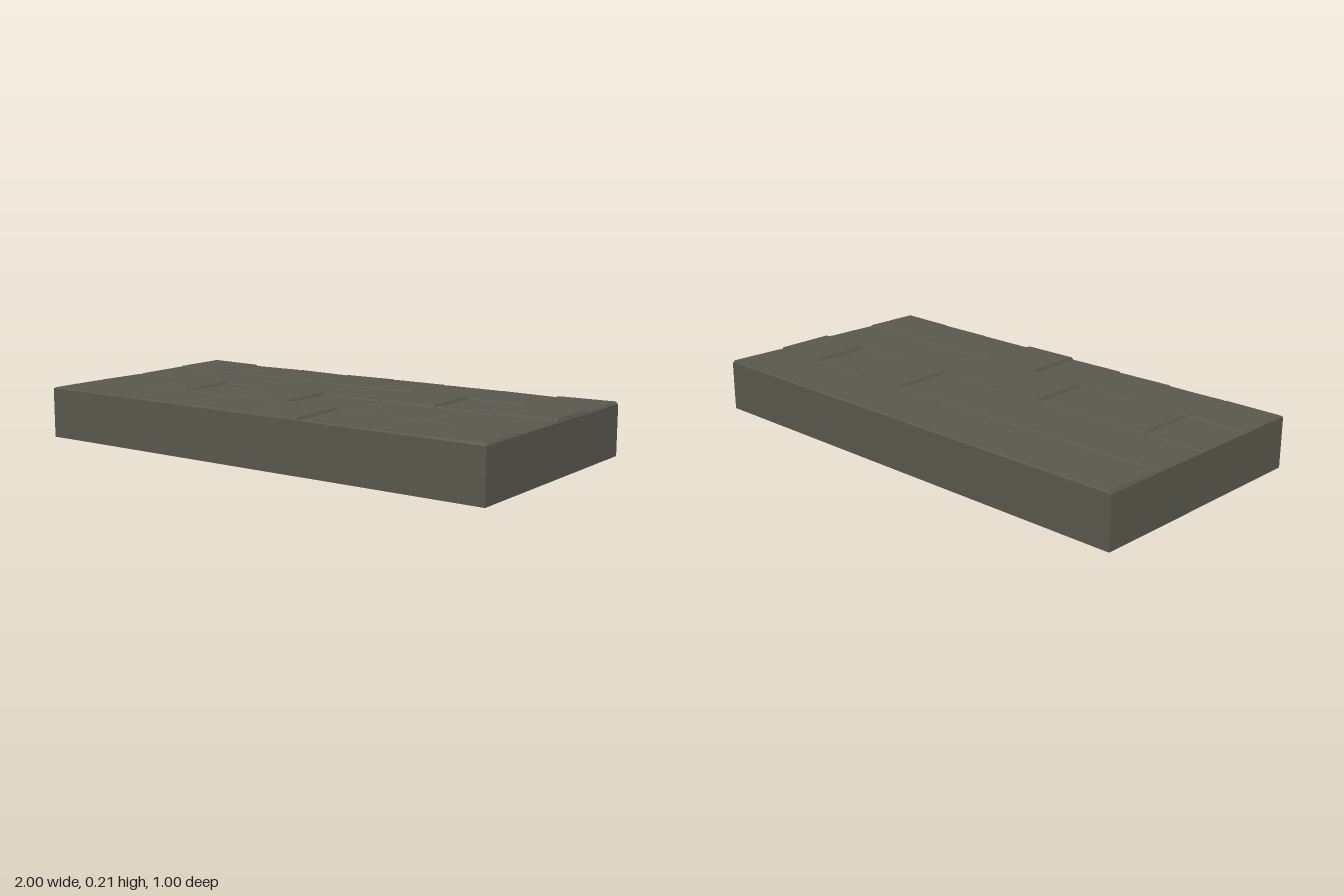
import * as THREE from 'three';

const TILE = 0.25;
const BASE = 0.2;
const INSET = 0.007;

// Tile rise above the slab in thousandths, rows from back to front, columns along +x
const RISE = [
  [8, 4, 4, 5, 6, 5, 4, 7],
  [5, 4, 4, 5, 6, 12, 4, 13],
  [4, 10, 4, 13, 5, 4, 4, 5],
  [5, 4, 4, 5, 13, 5, 4, 7],
];

function seeded(seed) {
  return () => {
    seed = (seed * 16807) % 2147483647;
    return seed / 2147483647;
  };
}

// Bevelled paving tile whose top leans slightly
function tileGeometry(rise, leanX, leanZ) {
  const geo = new THREE.BoxGeometry(TILE, rise, TILE);
  const p = geo.attributes.position;
  for (let i = 0; i < p.count; i++) {
    const sx = Math.sign(p.getX(i));
    const sz = Math.sign(p.getZ(i));
    if (p.getY(i) > 0) {
      const y = Math.max(0.001, rise + sx * leanX + sz * leanZ);
      p.setXYZ(i, sx * (TILE / 2 - INSET), y, sz * (TILE / 2 - INSET));
    } else {
      p.setY(i, -0.002);
    }
  }
  geo.computeVertexNormals();
  return geo;
}

export function createModel() {
  const model = new THREE.Group();
  model.name = 'pavedSlab';
  const stone = new THREE.MeshStandardMaterial({ color: 0x59584d });
  stone.name = 'darkStone';

  // Solid slab
  const slab = new THREE.Mesh(new THREE.BoxGeometry(2, BASE, 1), stone);
  slab.name = 'slab';
  slab.position.y = BASE / 2;
  model.add(slab);

  // Uneven tiles over the top
  const tiles = new THREE.Group();
  tiles.name = 'tiles';
  const random = seeded(17);
  RISE.forEach((row, r) => row.forEach((rise, c) => {
    const lean = () => (random() - 0.5) * 0.003;
    const tile = new THREE.Mesh(tileGeometry(rise / 1000, lean(), lean()), stone);
    tile.name = `tile_${r + 1}_${c + 1}`;
    tile.position.set(-1 + (c + 0.5) * TILE, BASE, -0.5 + (r + 0.5) * TILE);
    tiles.add(tile);
  }));
  model.add(tiles);
  return model;
}
